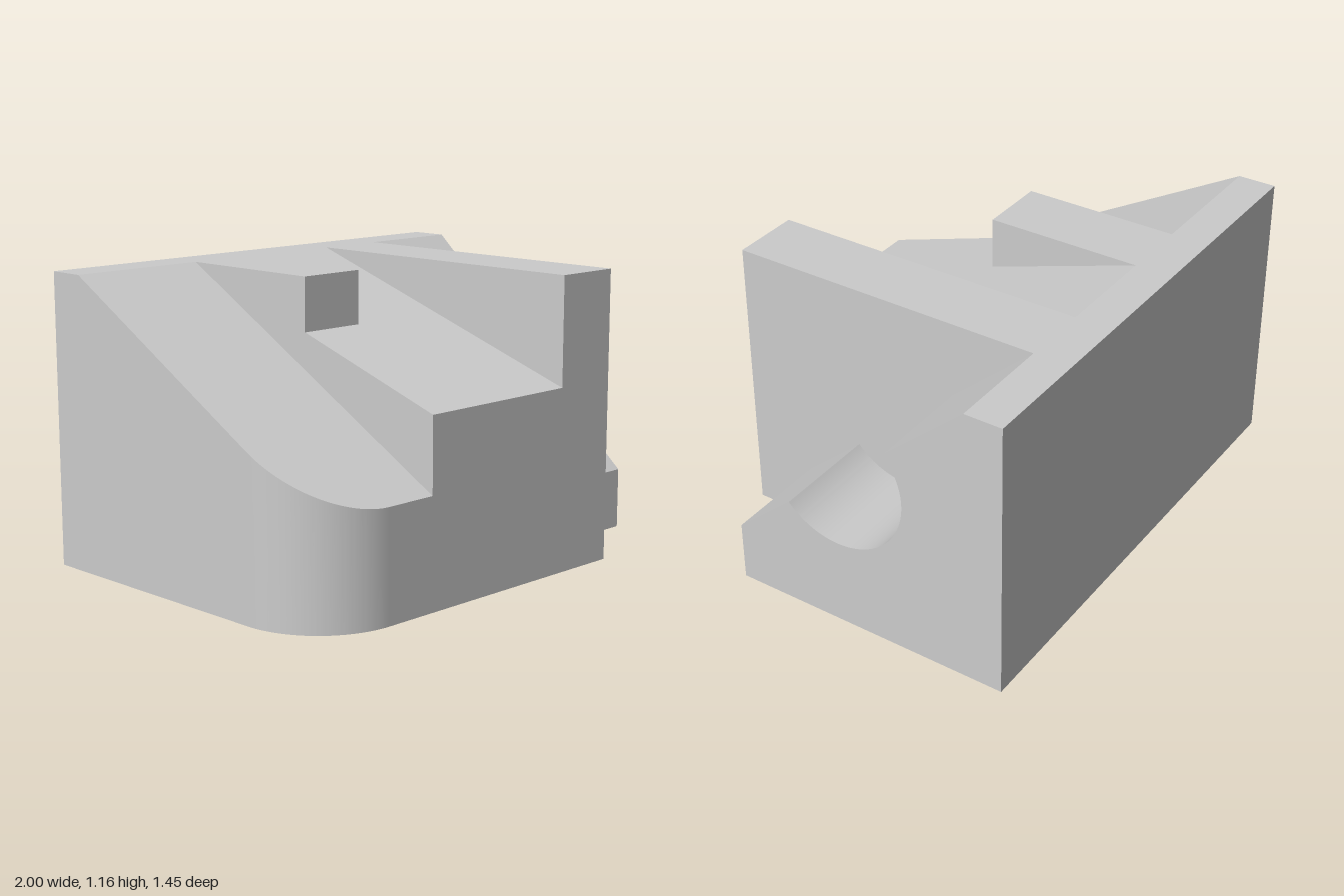
import * as THREE from 'three';
import { toCreasedNormals } from 'three/addons/utils/BufferGeometryUtils.js';

const H = 1.16;        // full height
const BACK = -0.725;   // rear face
const RAIL = -0.57;    // front of the flat strip along the rear top edge
const FRONT = 0.725;   // front face

export function createModel() {
  const model = new THREE.Group();
  const material = new THREE.MeshStandardMaterial({ color: 0xcccccc });

  const add = (name, geometry) => {
    const mesh = new THREE.Mesh(toCreasedNormals(geometry, 0.5), material);
    mesh.name = name;
    model.add(mesh);
  };

  // Side profile drawn in (-z, y), extruded across x0..x1
  const extrudeX = (name, shape, x0, x1) => {
    const g = new THREE.ExtrudeGeometry(shape, { depth: x1 - x0, bevelEnabled: false, curveSegments: 48 });
    g.rotateY(Math.PI / 2).translate(x0, 0, 0);
    add(name, g);
  };
  const profile = (points) => new THREE.Shape(points.map(([z, y]) => new THREE.Vector2(-z, y)));

  // Rear wall across the full width
  extrudeX('rearWall', profile([[BACK, 0], [RAIL, 0], [RAIL, H], [BACK, H]]), -1, 1);

  // Steep ramp with a rounded front corner: plan extruded upward, top sheared to the slope
  const r = 0.35, xr = -0.43;
  const plan = new THREE.Shape();
  plan.moveTo(-1, -RAIL);
  plan.lineTo(-1, -(FRONT - r));
  plan.absarc(-1 + r, -(FRONT - r), r, Math.PI, Math.PI * 1.5, false);
  plan.lineTo(xr, -FRONT);
  plan.lineTo(xr, -RAIL);
  const ramp = new THREE.ExtrudeGeometry(plan, { depth: 1, bevelEnabled: false, curveSegments: 32 });
  ramp.rotateX(-Math.PI / 2);
  const p = ramp.attributes.position;
  for (let i = 0; i < p.count; i++) {
    const t = (p.getZ(i) - RAIL) / (FRONT - RAIL);
    p.setY(i, p.getY(i) > 0.5 ? H + (0.435 - H) * t : 0);
  }
  add('roundedRamp', ramp);

  // Shallow ramp and the flat-topped block standing on it
  const shallow = (z) => H + (0.73 - H) * (z - RAIL) / (FRONT - RAIL);
  extrudeX('shallowRamp', profile([[RAIL, 0], [FRONT, 0], [FRONT, 0.73], [RAIL, H]]), xr, 0.285);
  extrudeX('rampBlock', profile([[RAIL, H], [0.065, shallow(0.065)], [0.065, H]]), xr, -0.15);

  // Full-height wall
  extrudeX('tallWall', profile([[RAIL, 0], [FRONT, 0], [FRONT, H], [RAIL, H]]), 0.285, 0.565);

  // Sloped cradle with a round seat
  const cradle = profile([[0.455, 0], [RAIL, 0], [RAIL, H], [-0.23, 0.857]]);
  const cz = -0.01, cy = 0.66;
  cradle.absarc(-cz, cy, 0.295, Math.atan2(0.857 - cy, 0.23 + cz), Math.atan2(0.463 - cy, -0.21 + cz), true);
  cradle.lineTo(-0.455, 0.248);
  cradle.lineTo(-0.455, 0);
  extrudeX('cradle', cradle, 0.565, 1);

  return model;
}
